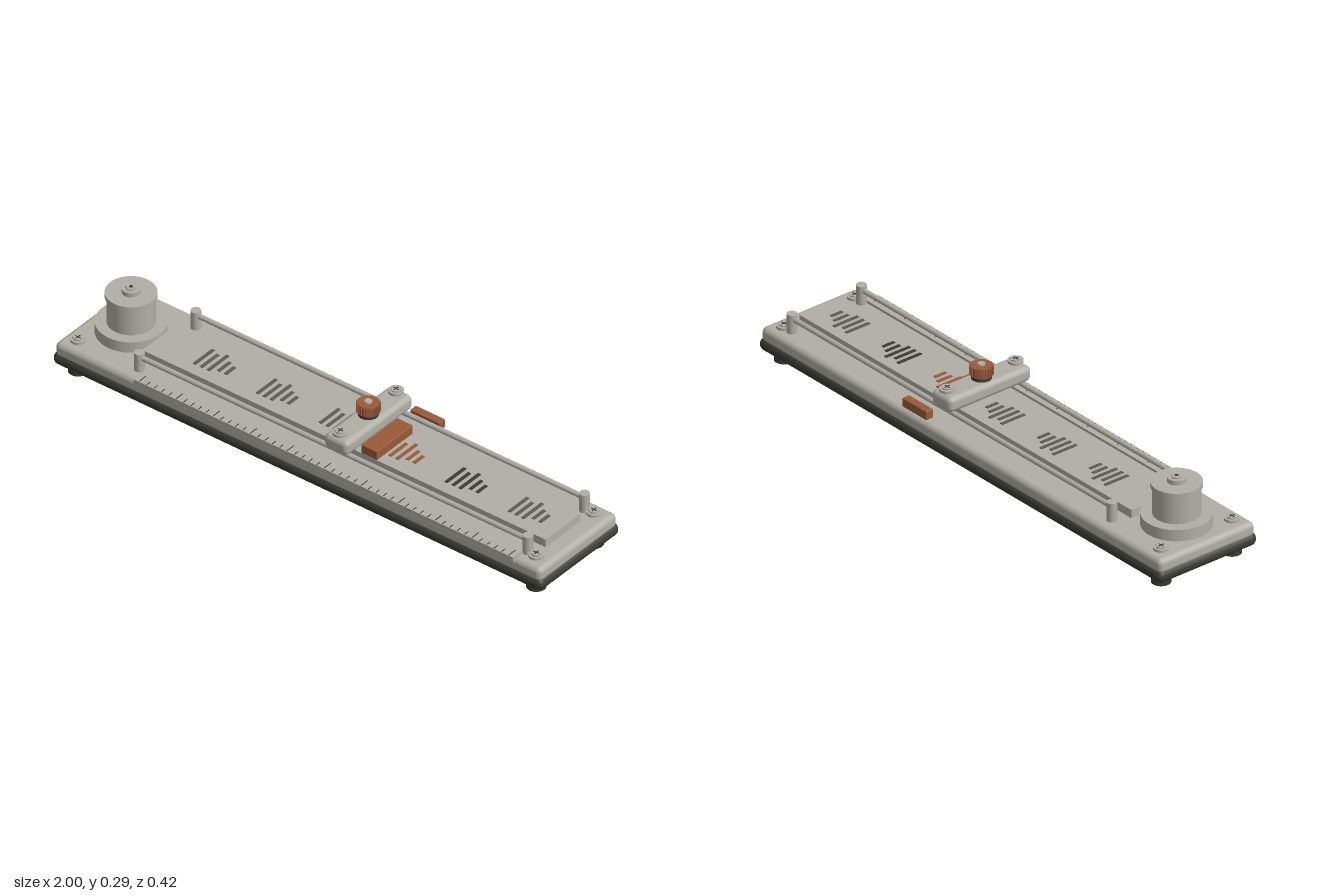
import * as THREE from 'three';
import { RoundedBoxGeometry } from 'three/addons/geometries/RoundedBoxGeometry.js';

const mat = (name, color) => {
  const m = new THREE.MeshStandardMaterial({ color });
  m.name = name;
  return m;
};

export function createModel() {
  const root = new THREE.Group();
  root.name = 'slideInstrument';
  const grey = mat('warm grey metal', 0xb0aea6);
  const dark = mat('dark rubber', 0x3b3c35);
  const brown = mat('copper brown', 0x9a5a3a);
  const slate = mat('slate marks', 0x5c5b56);

  const add = (name, geo, m, x, y, z, parent = root) => {
    const mesh = new THREE.Mesh(geo, m);
    mesh.name = name;
    mesh.position.set(x, y, z);
    parent.add(mesh);
    return mesh;
  };
  // Box given by its limits on each axis, optionally rounded
  const box = (name, m, [x0, x1], [y0, y1], [z0, z1], r = 0, parent = root) => {
    const s = [x1 - x0, y1 - y0, z1 - z0];
    const geo = r ? new RoundedBoxGeometry(...s, 4, r) : new THREE.BoxGeometry(...s);
    return add(name, geo, m, (x0 + x1) / 2, (y0 + y1) / 2, (z0 + z1) / 2, parent);
  };
  // Upright cylinder between two heights
  const cyl = (name, m, r, y0, y1, x, z, parent = root, sides = 32) =>
    add(name, new THREE.CylinderGeometry(r, r, y1 - y0, sides), m, x, (y0 + y1) / 2, z, parent);

  // Base
  box('baseSkirt', dark, [-1, 1], [0.03, 0.076], [-0.207, 0.207], 0.0225);
  box('baseDeck', grey, [-0.993, 0.993], [0.06, 0.116], [-0.2, 0.2], 0.02);

  // Flanged screw with a crossed recess
  const screw = (x, y, z) => {
    const g = new THREE.Group();
    g.name = 'screw';
    g.position.set(x, y, z);
    root.add(g);
    cyl('screwShank', grey, 0.018, -0.002, 0.008, 0, 0, g, 20);
    cyl('screwFlange', grey, 0.026, 0.004, 0.013, 0, 0, g, 24);
    cyl('screwHead', grey, 0.019, 0.013, 0.018, 0, 0, g, 6);
    for (const a of [0, Math.PI / 2])
      add('screwSlot', new THREE.BoxGeometry(0.022, 0.001, 0.004), dark, 0, 0.0185, 0, g).rotation.y = a;
  };
  for (const x of [-0.936, 0.936])
    for (const z of [-0.148, 0.148]) {
      cyl('foot', dark, 0.033, 0, 0.04, x, z);
      screw(x, 0.115, z);
    }

  // Drum at the left end
  const dx = -0.837;
  cyl('drumBase', grey, 0.117, 0.11, 0.157, dx, 0, root, 48);
  cyl('drumBody', grey, 0.079, 0.157, 0.256, dx, 0, root, 48);
  cyl('drumFlange', grey, 0.085, 0.256, 0.272, dx, 0, root, 48);
  cyl('drumHub', grey, 0.031, 0.272, 0.288, dx, 0);
  cyl('drumNut', grey, 0.019, 0.288, 0.293, dx, 0, root, 6);
  cyl('drumNutRecess', dark, 0.007, 0.293, 0.294, dx, 0, root, 6);

  // Long specimen plate with six groups of bars
  box('slidePlate', grey, [-0.72, 0.927], [0.114, 0.146], [-0.09, 0.09]);
  const bars = [[-0.052, 0.046], [-0.04, 0.046], [-0.056, 0.046], [-0.032, 0.028], [-0.02, 0.028]];
  [slate, slate, slate, brown, dark, slate].forEach((m, g) => {
    bars.forEach(([z0, z1], i) => {
      const x = -0.542 + g * 0.257 + i * 0.028;
      box('plateBar', m, [x - 0.006, x + 0.006], [0.145, 0.1485], [z0, z1]);
    });
  });

  // Guide rails on four posts
  for (const z of [-0.145, 0.145]) {
    const rail = add('guideRail', new THREE.CylinderGeometry(0.009, 0.009, 1.588, 16), grey, 0.106, 0.166, z);
    rail.rotation.z = Math.PI / 2;
    for (const x of [-0.688, 0.9]) cyl('railPost', grey, 0.0175, 0.11, 0.184, x, z);
  }

  // Scale along the front edge
  box('scaleStrip', grey, [-0.66, 0.89], [0.108, 0.125], [0.158, 0.209]);
  for (let i = 0; i <= 50; i++) {
    const x = -0.64 + i * 0.0302;
    const len = i % 5 ? 0.018 : 0.034;
    box('scaleTick', dark, [x - 0.0015, x + 0.0015], [0.124, 0.126], [0.206 - len, 0.206]);
  }

  // Sliding bridge, pointer block and side tab
  const bx = 0.132;
  box('bridge', grey, [bx - 0.049, bx + 0.049], [0.175, 0.23], [-0.172, 0.172], 0.019);
  for (const z of [-0.143, 0.143]) screw(bx, 0.231, z);
  box('pointerBlock', brown, [0.176, 0.241], [0.148, 0.182], [-0.093, 0.093], 0.003);
  box('sideTab', brown, [0.165, 0.285], [0.131, 0.163], [-0.203, -0.173], 0.003);

  // Fluted knob
  cyl('knobNeck', dark, 0.034, 0.228, 0.243, bx, 0);
  cyl('knobBody', brown, 0.036, 0.242, 0.277, bx, 0);
  for (let i = 0; i < 24; i++) {
    const a = (i / 24) * Math.PI * 2;
    const rib = box('knobRib', brown, [-0.003, 0.003], [0.245, 0.275], [-0.002, 0.002]);
    rib.position.x = bx + Math.cos(a) * 0.037;
    rib.position.z = Math.sin(a) * 0.037;
    rib.rotation.y = -a;
  }
  cyl('knobCap', grey, 0.013, 0.277, 0.283, bx, 0);
  return root;
}
